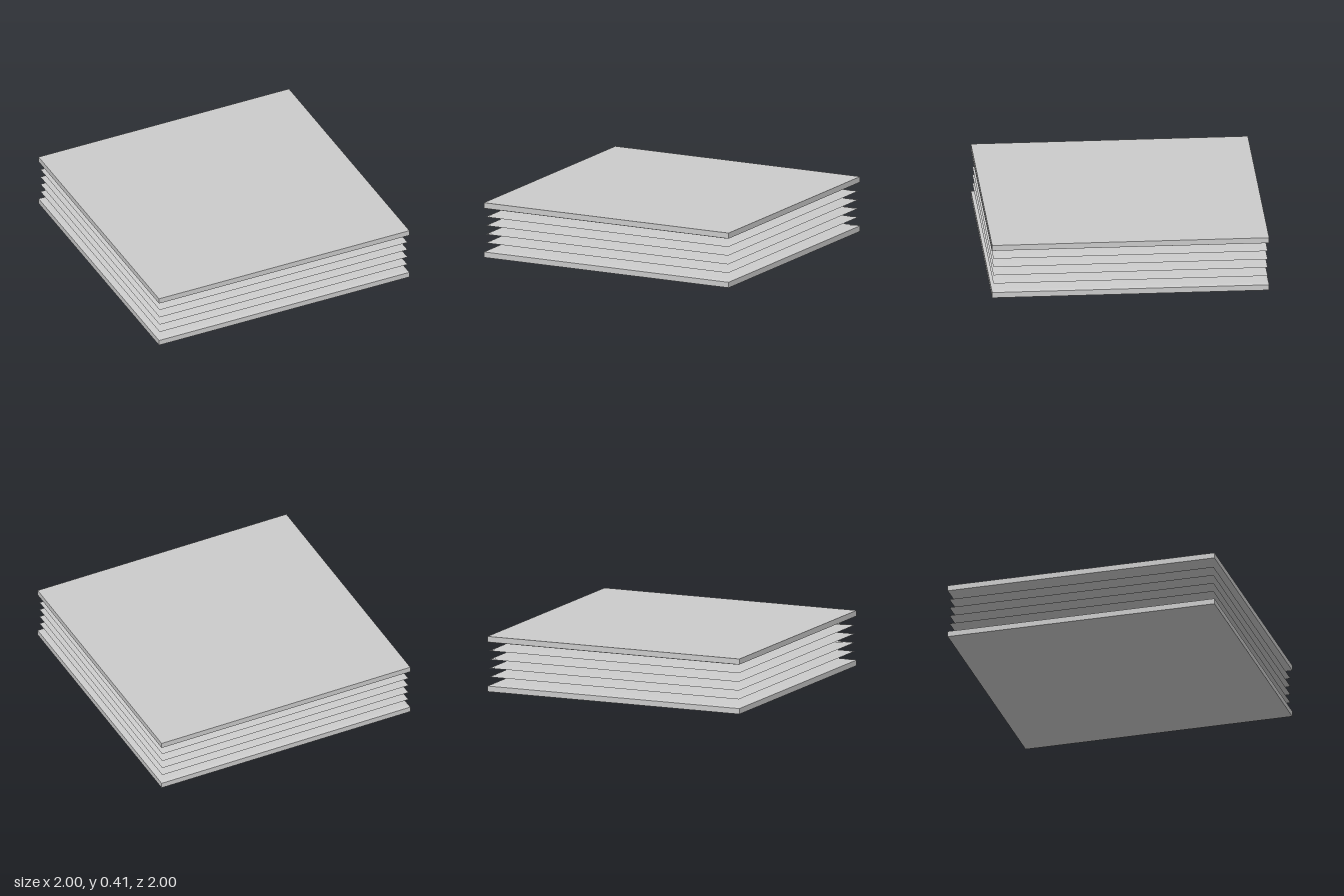
import * as THREE from 'three';
import { toCreasedNormals } from 'three/addons/utils/BufferGeometryUtils.js';

const HEIGHT = 0.405, MID = HEIGHT / 2, PITCH = 0.064, PLATE = 0.043;

// Half of one pleat: [half width, height above its rim], from rim to valley
const PLEAT = [[0.99, 0], [0.96, 0.006], [0.88, 0.0125], [0.76, 0.0195], [0.64, 0.026], [0.61, 0.032]];

// Turn a profile of [half width, y] into a square solid with crisp edges
function squareLathe(profile) {
  const points = profile.map(([w, y]) => new THREE.Vector2(w * Math.SQRT2, y));
  const geometry = new THREE.LatheGeometry(points, 4).rotateY(Math.PI / 4);
  return toCreasedNormals(geometry, 0.3);
}

export function createModel() {
  const group = new THREE.Group();
  const material = new THREE.MeshStandardMaterial({ color: 0xcccccc, side: THREE.DoubleSide });
  const add = (name, profile) => {
    const mesh = new THREE.Mesh(squareLathe(profile), material);
    mesh.name = name;
    group.add(mesh);
    return mesh;
  };

  // End plates, each swelling inwards to meet the first valley
  const flare = PLEAT.slice(1).map(([w, h]) => [w, PLATE + h]);
  const bottom = [[0, 0], [1, 0], [1, PLATE - 0.002], [0.99, PLATE + 0.002], ...flare];
  const top = bottom.map(([w, y]) => [w, HEIGHT - y]).reverse();
  add('bottomPlate', bottom);
  add('topPlate', top);

  // Four bellows pleats stacked between the plates
  const lower = PLEAT.map(([w, h]) => [w, -h]).reverse();
  for (let i = 0; i < 4; i++) {
    const pleat = add('bellowsPleat' + (i + 1), [...lower, ...PLEAT.slice(1)]);
    pleat.position.y = MID + (i - 1.5) * PITCH;
  }
  return group;
}
